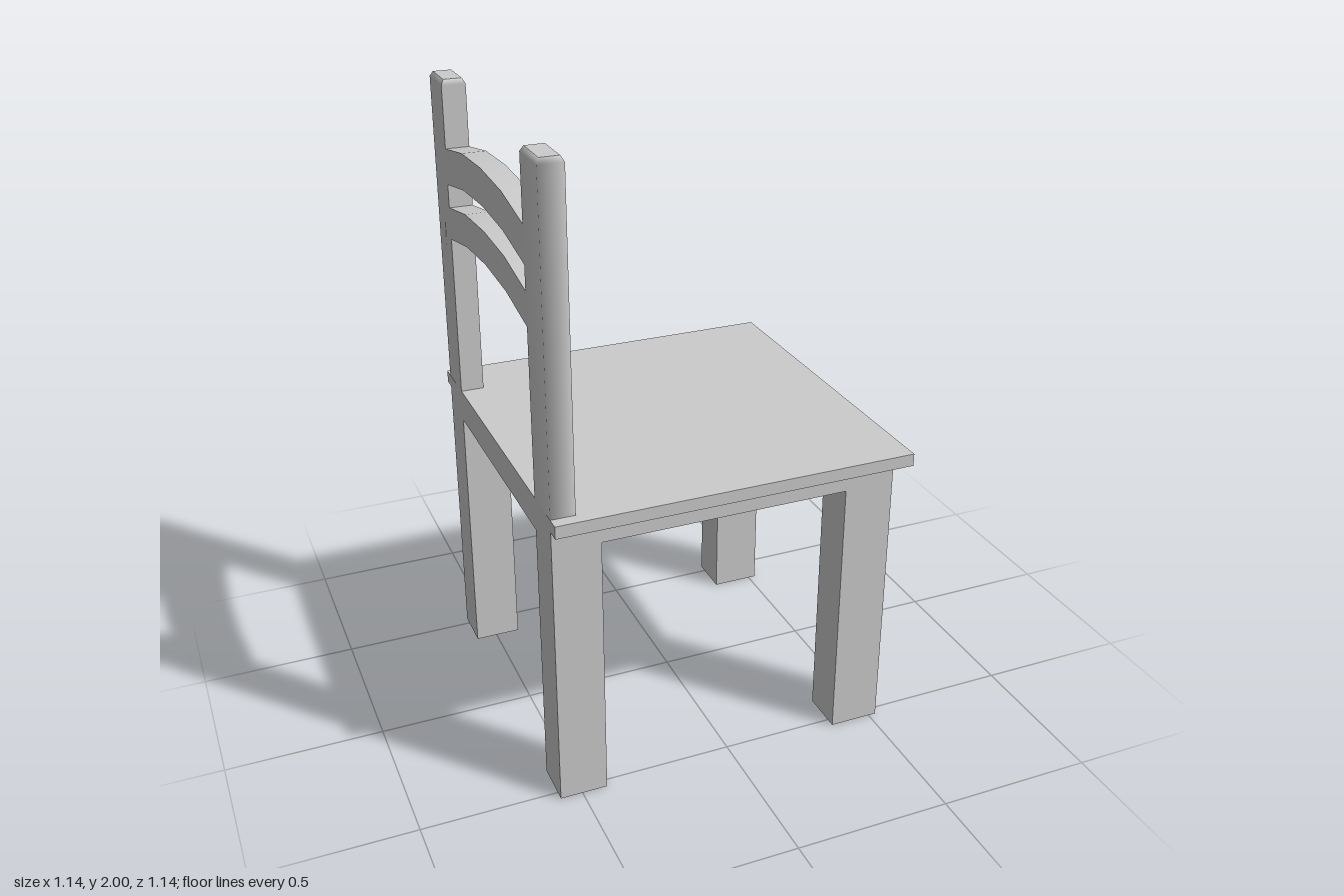
import * as THREE from 'three';
import { toCreasedNormals } from 'three/addons/utils/BufferGeometryUtils.js';

const material = new THREE.MeshStandardMaterial({ color: 0xcccccc });
const hollowMaterial = new THREE.MeshStandardMaterial({ color: 0xcccccc, side: THREE.DoubleSide });

const BACK = -0.57, POST_DEPTH = 0.075, INNER = 0.39, OUTER = 0.53;
const APRON_BOTTOM = 0.87, SEAT_BOTTOM = 0.935, SEAT_TOP = 0.975, HEIGHT = 2;

function addMesh(group, name, geometry, mat = material) {
  const mesh = new THREE.Mesh(geometry, mat);
  mesh.name = name;
  group.add(mesh);
  return mesh;
}

// Box given by its two extreme corners
function boxBetween(x0, x1, y0, y1, z0, z1) {
  return new THREE.BoxGeometry(x1 - x0, y1 - y0, z1 - z0)
    .translate((x0 + x1) / 2, (y0 + y1) / 2, (z0 + z1) / 2);
}

// Hollow leg: the four walls of a box, without its end caps
function legGeometry(x0, x1, z0, z1) {
  const geometry = boxBetween(x0, x1, 0, APRON_BOTTOM, z0, z1);
  const index = Array.from(geometry.index.array);
  geometry.setIndex([...index.slice(0, 12), ...index.slice(24)]);
  geometry.clearGroups();
  return geometry;
}

// Back post: softened top rim, outer edges shaded smooth, inner edges sharp
function postGeometry(side) {
  const h = HEIGHT - SEAT_TOP, w = OUTER - INNER, rim = 0.016, inset = 0.009;
  const geometry = new THREE.BoxGeometry(POST_DEPTH, h, w, 1, 2, 1);
  const pos = geometry.attributes.position, nor = geometry.attributes.normal;
  const n = new THREE.Vector3();
  for (let i = 0; i < pos.count; i++) {
    const x = pos.getX(i), y = pos.getY(i), z = pos.getZ(i);
    n.fromBufferAttribute(nor, i);
    const capFace = Math.abs(n.y) > 0.5;
    if (!capFace && z * side > 0) n.set(Math.sign(x), 0, side);
    if (y > h / 2 - 0.001) {
      pos.setXYZ(i, x - Math.sign(x) * inset, y, z - Math.sign(z) * inset);
      if (!capFace) n.normalize().setY(1);
    } else if (Math.abs(y) < 0.001) {
      pos.setY(i, h / 2 - rim);
    }
    n.normalize();
    nor.setXYZ(i, n.x, n.y, n.z);
  }
  return geometry.translate(BACK + POST_DEPTH / 2, SEAT_TOP + h / 2, side * (INNER + OUTER) / 2);
}

// Arched slat: heights at the middle, quarter and end of each edge
function slatGeometry(top, bottom) {
  const zs = [-INNER, -0.2, 0, 0.2, INNER];
  const edge = ([mid, quarter, end]) =>
    [end, quarter, mid, quarter, end].map((y, i) => new THREE.Vector2(zs[i], y));
  const shape = new THREE.Shape([...edge(bottom), ...edge(top).reverse()]);
  const geometry = new THREE.ExtrudeGeometry(shape, { depth: POST_DEPTH, bevelEnabled: false });
  geometry.rotateY(Math.PI / 2).translate(BACK, 0, 0);
  return toCreasedNormals(geometry, Math.PI / 6);
}

export function createModel() {
  const chair = new THREE.Group();
  chair.name = 'chair';

  // Seat board and the block beneath it
  addMesh(chair, 'seat', boxBetween(-0.57, 0.57, SEAT_BOTTOM, SEAT_TOP, -0.57, 0.57));
  addMesh(chair, 'apron', boxBetween(BACK, 0.525, APRON_BOTTOM, SEAT_BOTTOM, -OUTER, OUTER));

  // Legs and back posts, mirrored across z
  for (const side of [1, -1]) {
    const label = side > 0 ? 'Left' : 'Right';
    const z0 = side > 0 ? INNER : -OUTER, z1 = side > 0 ? OUTER : -INNER;
    addMesh(chair, `backLeg${label}`, legGeometry(BACK, -0.42, z0, z1), hollowMaterial);
    addMesh(chair, `frontLeg${label}`, legGeometry(0.365, 0.525, z0, z1), hollowMaterial);
    addMesh(chair, `backPost${label}`, postGeometry(side));
  }

  // Curved slats between the posts
  addMesh(chair, 'upperSlat', slatGeometry([1.835, 1.825, 1.79], [1.723, 1.712, 1.677]));
  addMesh(chair, 'lowerSlat', slatGeometry([1.648, 1.638, 1.603], [1.546, 1.535, 1.5]));

  return chair;
}
